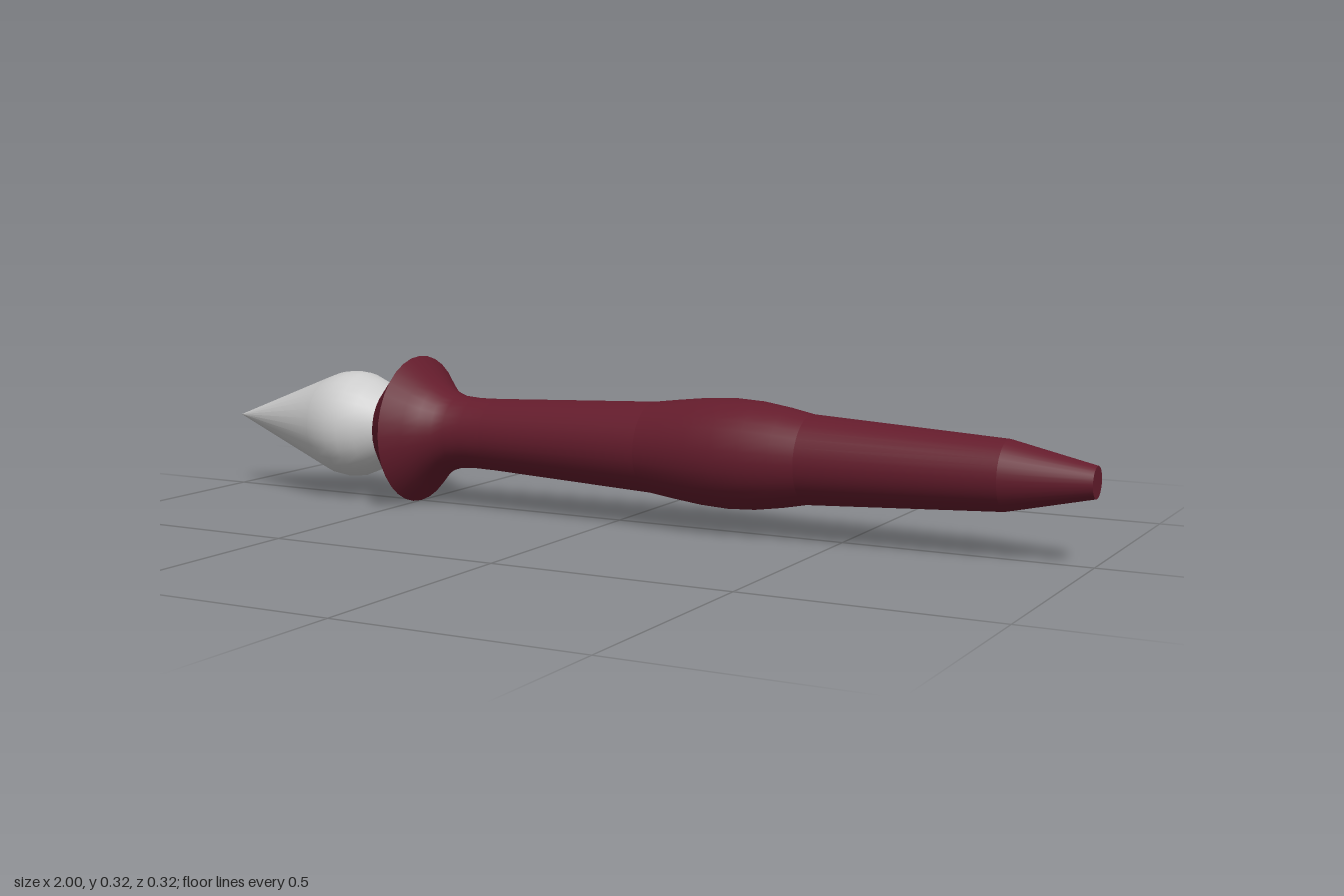
import * as THREE from 'three';

const SIDES = 32;
const AXIS_HEIGHT = 0.16;

// Turns [x, radius] runs around the long axis; each run is smooth, with a crease between runs.
function turned(name, runs, color) {
  const group = new THREE.Group();
  group.name = name;
  const material = new THREE.MeshStandardMaterial({ color });
  for (const [part, points] of Object.entries(runs)) {
    const profile = points.map(([x, r]) => new THREE.Vector2(r, x));
    const geometry = new THREE.LatheGeometry(profile, SIDES);
    geometry.rotateZ(-Math.PI / 2);
    const mesh = new THREE.Mesh(geometry, material);
    mesh.name = part;
    group.add(mesh);
  }
  group.position.y = AXIS_HEIGHT;
  return group;
}

export function createModel() {
  const model = new THREE.Group();
  model.name = 'spikedHandle';

  // Pointed metal tip with a rounded shoulder
  model.add(turned('tip', {
    tipPoint: [[-1, 0], [-0.73, 0.105]],
    tipShoulder: [[-0.73, 0.105], [-0.705, 0.114], [-0.675, 0.118], [-0.645, 0.115],
      [-0.61, 0.101], [-0.57, 0.077], [-0.54, 0.06]],
  }, 0xcccccc));

  // Turned handle: flared guard, swelling grip, tapered butt
  model.add(turned('handle', {
    guardFace: [[-0.56, 0], [-0.56, 0.097]],
    guardRim: [[-0.56, 0.097], [-0.5, 0.16]],
    guardFlare: [[-0.5, 0.16], [-0.465, 0.124], [-0.44, 0.101], [-0.415, 0.087],
      [-0.39, 0.079], [-0.35, 0.076], [-0.3, 0.077]],
    gripShaft: [[-0.3, 0.077], [0.08, 0.094]],
    gripSwell: [[0.08, 0.094], [0.14, 0.102], [0.2, 0.109], [0.26, 0.112], [0.32, 0.109],
      [0.38, 0.1], [0.43, 0.09]],
    gripTaper: [[0.43, 0.09], [0.83, 0.069]],
    butt: [[0.83, 0.069], [1, 0.031]],
    buttEnd: [[1, 0.031], [1, 0]],
  }, 0x641c2c));

  return model;
}
